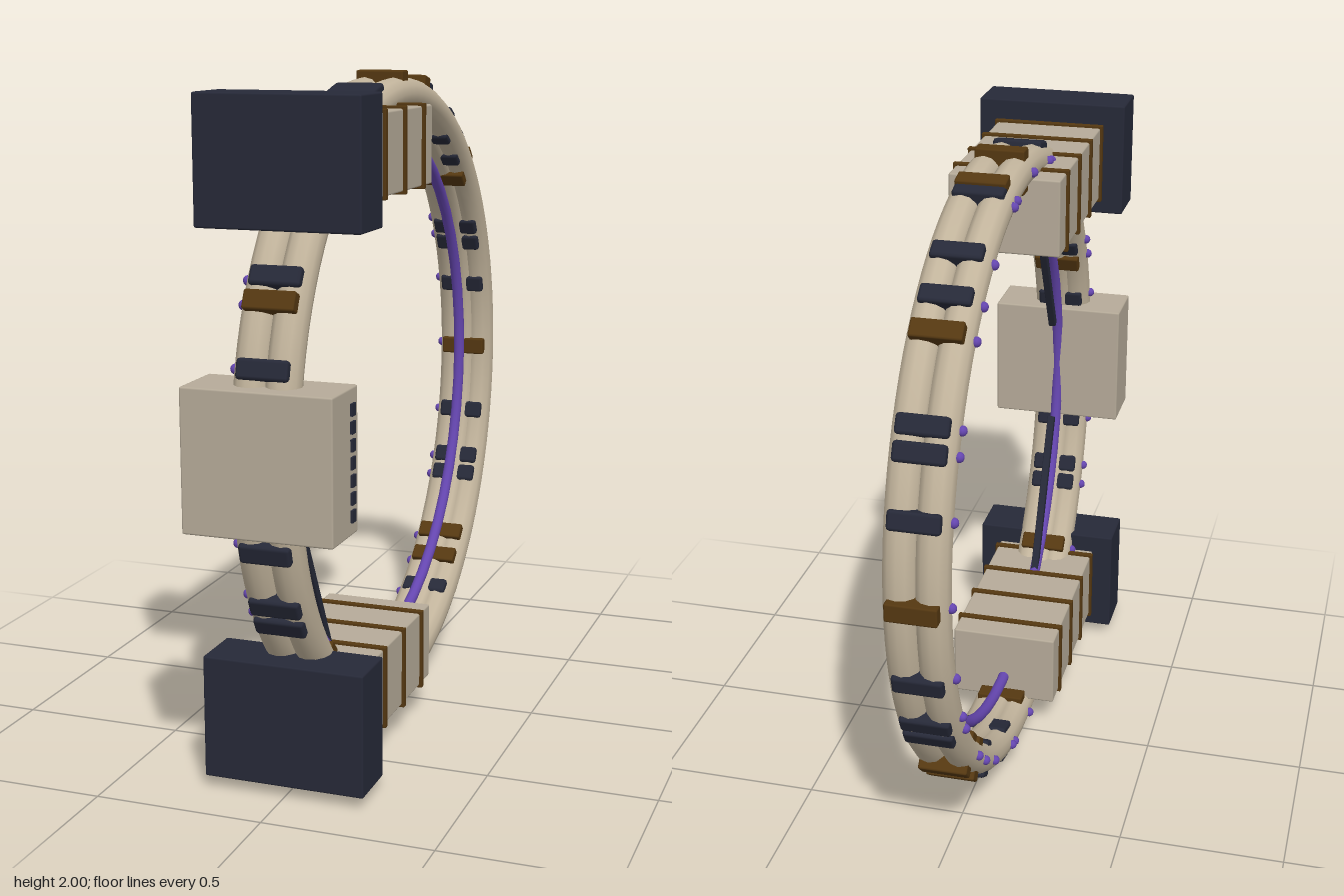
import * as THREE from 'three';
import { RoundedBoxGeometry } from 'three/addons/geometries/RoundedBoxGeometry.js';

function paint(name, color) {
  const m = new THREE.MeshStandardMaterial({ color });
  m.name = name;
  return m;
}

export function createModel() {
  const tubeBeige = paint('tube beige', 0xc2b49c);
  const shellBeige = paint('shell beige', 0xb6ab99);
  const dark = paint('dark slate', 0x262938);
  const brown = paint('brown', 0x553811);
  const purple = paint('purple', 0x6546b0);

  const model = new THREE.Group();
  model.name = 'ringGate';

  function add(parent, name, geometry, material, x = 0, y = 0, z = 0) {
    const mesh = new THREE.Mesh(geometry, material);
    mesh.name = name;
    mesh.position.set(x, y, z);
    parent.add(mesh);
    return mesh;
  }
  const box = (w, h, d, r = 0.006) => new RoundedBoxGeometry(w, h, d, 1, r);

  // Ring assembly, built around its own centre in the y-z plane
  const ring = new THREE.Group();
  ring.name = 'ring';
  ring.position.y = 1;
  model.add(ring);

  function hoop(name, radius, thickness, x, material, segments) {
    const g = new THREE.TorusGeometry(radius, thickness, 12, segments).rotateY(Math.PI / 2);
    add(ring, name, g, material, x);
  }
  hoop('leftTube', 0.928, 0.05, 0.046, tubeBeige, 96);
  hoop('rightTube', 0.928, 0.05, -0.046, tubeBeige, 96);
  hoop('innerTube', 0.9, 0.034, 0, tubeBeige, 96);
  hoop('glowTube', 0.825, 0.018, 0, purple, 48);

  // Clips around the tubes, each with a small bead on the right side;
  // the angle runs from the front upward and over to the back
  const bead = new THREE.SphereGeometry(0.015, 10, 8);
  const darkClip = box(0.15, 0.058, 0.116, 0.01);
  const brownClip = box(0.15, 0.056, 0.134);
  function clip(angle, isBrown) {
    const holder = new THREE.Group();
    holder.name = 'clip';
    holder.rotation.x = -angle;
    ring.add(holder);
    add(holder, 'clipBlock', isBrown ? brownClip : darkClip, isBrown ? brown : dark, 0, 0, isBrown ? 0.931 : 0.93);
    add(holder, 'clipBead', bead, purple, -0.096, 0, 0.93);
  }
  for (let i = 0; i < 24; i++) clip((i / 24) * Math.PI * 2, i % 3 === 0);
  for (let i = 1; i < 14; i++) {
    if (i !== 7) clip((i / 14) * Math.PI * 2, [1, 4, 9].includes(i));
  }

  // Upper and lower arms with bands, end block and diagonal strut
  for (const side of [1, -1]) {
    const arm = new THREE.Group();
    arm.name = side > 0 ? 'upperArm' : 'lowerArm';
    arm.position.y = 1 + side * 0.782;
    model.add(arm);
    add(arm, 'armBody', box(0.34, 0.236, 0.645), shellBeige, 0, 0, 0.3525);
    add(arm, 'endBlock', box(0.48, 0.36, 0.168), dark, 0, side * 0.002, 0.756);
    for (let i = 0; i < 4; i++) {
      add(arm, 'band', box(0.356, 0.252, 0.02, 0.003), brown, 0, 0, 0.122 + i * 0.171);
    }

    const from = new THREE.Vector3(0, 1 + side * 0.175, 0.733);
    const to = new THREE.Vector3(0, 1 + side * 0.69, 0.472);
    const strut = add(model, 'strut', box(0.024, 0.024, from.distanceTo(to), 0.003), dark);
    strut.position.copy(from).add(to).multiplyScalar(0.5);
    strut.lookAt(to);
  }

  // Front control box with a row of vents on its left side
  add(model, 'controlBox', box(0.435, 0.405, 0.19), shellBeige, 0, 1.002, 0.905);
  for (let i = -3; i <= 3; i++) {
    add(model, 'vent', new THREE.BoxGeometry(0.009, 0.034, 0.026), dark, 0.22, 1 + i * 0.0485, 0.857);
  }

  return model;
}
